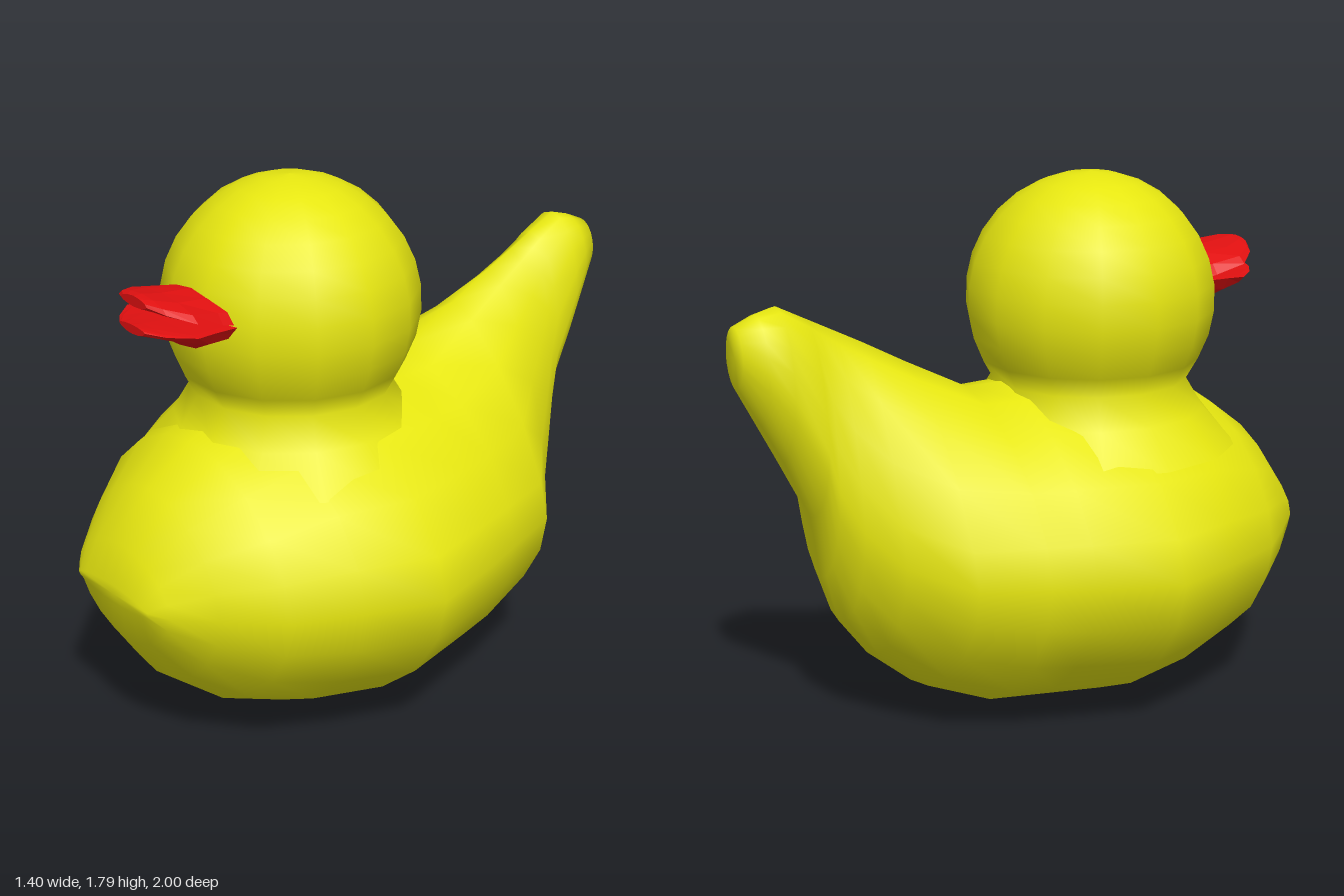
import * as THREE from 'three';

const yellow = new THREE.MeshStandardMaterial({ color: 0xe6e610 });
const red = new THREE.MeshStandardMaterial({ color: 0xe01010 });
const redFlat = red.clone();
redFlat.flatShading = true;

// Joins rounded cross-sections [z, halfWidth, widestY, bottomY, topY, topRoundness], front to back.
function loft(sections, sides, cx = 0, bottomRoundness = 1.8) {
  const pos = [], index = [];
  const power = (v, p) => Math.sign(v) * Math.pow(Math.abs(v), 2 / p);
  for (const [z, w, mid, bottom, top, roundness] of sections) {
    for (let j = 0; j < sides; j++) {
      const t = (j / sides) * Math.PI * 2;
      const c = Math.cos(t), s = Math.sin(t);
      const p = s > 0 ? roundness : bottomRoundness;
      const h = s > 0 ? top - mid : mid - bottom;
      pos.push(cx + w * power(c, p), mid + h * power(s, p), z);
    }
  }
  for (let i = 0; i < sections.length - 1; i++) {
    for (let j = 0; j < sides; j++) {
      const k = (j + 1) % sides;
      const a = i * sides + j, b = i * sides + k;
      index.push(a, a + sides, b, b, a + sides, b + sides);
    }
  }
  // end caps
  const last = (sections.length - 1) * sides;
  const front = pos.length / 3, back = front + 1;
  for (const s of [sections[0], sections[sections.length - 1]]) pos.push(cx, (s[3] + s[4]) / 2, s[0]);
  for (let j = 0; j < sides; j++) {
    const k = (j + 1) % sides;
    index.push(front, j, k, back, last + k, last + j);
  }
  const g = new THREE.BufferGeometry();
  g.setAttribute('position', new THREE.Float32BufferAttribute(pos, 3));
  g.setIndex(index);
  g.computeVertexNormals();
  return g;
}

export function createModel() {
  const group = new THREE.Group();
  const add = (name, geometry, material) => {
    const mesh = new THREE.Mesh(geometry, material);
    mesh.name = name;
    group.add(mesh);
    return mesh;
  };

  // body running back into the raised tail
  add('bodyAndTail', loft([
    [1.0, 0.2, 0.56, 0.53, 0.59, 1.8],
    [0.96, 0.26, 0.56, 0.39, 0.72, 1.8],
    [0.85, 0.37, 0.56, 0.23, 0.88, 1.8],
    [0.69, 0.52, 0.56, 0.11, 1.0, 1.8],
    [0.47, 0.61, 0.56, 0.03, 1.08, 1.75],
    [0.22, 0.7, 0.56, 0.0, 1.11, 1.7],
    [-0.05, 0.61, 0.56, 0.02, 1.11, 1.7],
    [-0.19, 0.565, 0.57, 0.03, 1.11, 1.65],
    [-0.41, 0.49, 0.58, 0.12, 1.22, 1.4],
    [-0.57, 0.31, 0.63, 0.25, 1.305, 1.45],
    [-0.67, 0.22, 0.74, 0.38, 1.355, 1.6],
    [-0.73, 0.17, 0.87, 0.54, 1.385, 1.8],
    [-0.76, 0.16, 1.0, 0.75, 1.4, 1.9],
    [-0.86, 0.14, 1.18, 0.94, 1.45, 2],
    [-0.93, 0.11, 1.26, 1.07, 1.43, 2],
    [-1.0, 0.07, 1.3, 1.2, 1.4, 2],
  ], 20), yellow);

  // head: a sphere that flares out at the neck
  const profile = [[0.5, 0.88], [0.39, 1.0], [0.33, 1.1]].map(([r, y]) => new THREE.Vector2(r, y));
  for (let i = 0; i <= 10; i++) {
    const a = THREE.MathUtils.lerp(-0.5, Math.PI / 2, i / 10);
    profile.push(new THREE.Vector2(Math.max(0, 0.42 * Math.cos(a)), 1.37 + 0.42 * Math.sin(a)));
  }
  const head = add('head', new THREE.LatheGeometry(profile, 14, Math.PI / 2), yellow);
  head.position.set(-0.02, 0, 0.27);

  // open beak, two flat lips spreading apart
  add('upperBeak', loft([
    [0.87, 0.07, 1.5, 1.485, 1.52, 1.8],
    [0.84, 0.13, 1.485, 1.475, 1.52, 1.8],
    [0.77, 0.195, 1.46, 1.455, 1.507, 1.8],
    [0.67, 0.18, 1.43, 1.425, 1.5, 1.8],
    [0.58, 0.18, 1.41, 1.4, 1.49, 1.8],
  ], 12, -0.01), redFlat);
  add('lowerBeak', loft([
    [0.88, 0.07, 1.42, 1.4, 1.43, 1.8],
    [0.84, 0.13, 1.415, 1.39, 1.425, 1.8],
    [0.77, 0.195, 1.415, 1.365, 1.42, 1.8],
    [0.71, 0.19, 1.415, 1.325, 1.42, 1.8],
    [0.58, 0.19, 1.415, 1.33, 1.42, 1.8],
  ], 12, -0.01), redFlat);

  return group;
}
